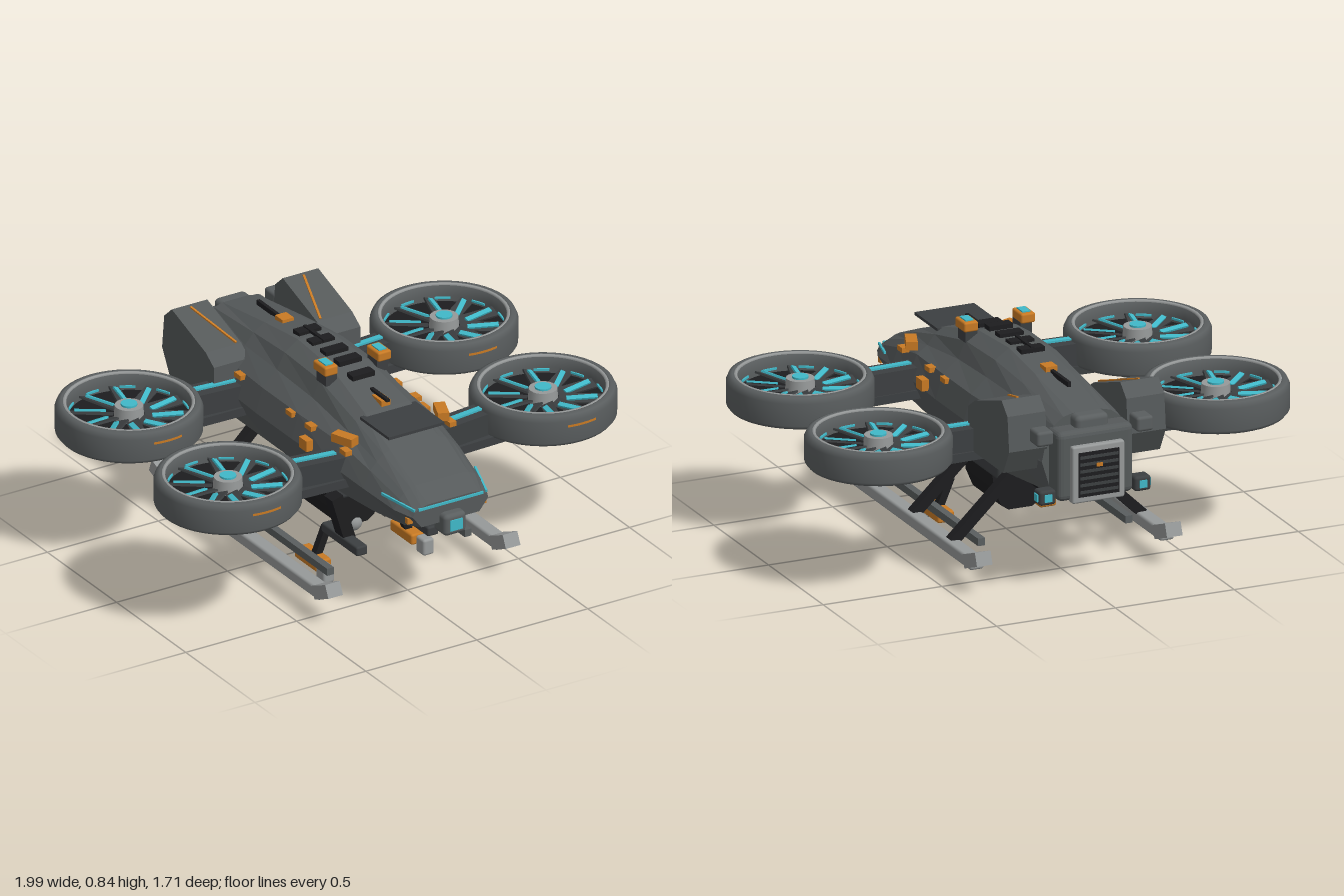
import * as THREE from 'three';
import { RoundedBoxGeometry } from 'three/addons/geometries/RoundedBoxGeometry.js';

const mat = (name, color, extra = {}) => Object.assign(new THREE.MeshStandardMaterial({ color, ...extra }), { name });

export function createModel() {
  const root = new THREE.Group();
  root.name = 'quadRotorCraft';
  const hull = mat('hullGrey', 0x55595a);
  hull.flatShading = true;
  const duct = mat('ductGrey', 0x5a5e5f);
  const dark = mat('darkGrey', 0x3c3f41);
  const black = mat('black', 0x1d1d1f);
  const light = mat('lightGrey', 0x969999);
  const orange = mat('orange', 0xc87a24);
  const cyan = mat('cyan', 0x40b8c8);

  const add = (name, geo, m, x = 0, y = 0, z = 0, parent = root) => {
    const mesh = new THREE.Mesh(geo, m);
    mesh.name = name;
    mesh.position.set(x, y, z);
    parent.add(mesh);
    return mesh;
  };
  const box = (name, m, w, h, d, x, y, z, parent) => add(name, new THREE.BoxGeometry(w, h, d), m, x, y, z, parent);
  const soft = (name, m, w, h, d, x, y, z, parent) =>
    add(name, new RoundedBoxGeometry(w, h, d, 2, Math.min(w, h, d) * 0.2), m, x, y, z, parent);
  // rectangular bar running from a to b
  const bar = (name, m, a, b, w, h) => {
    const p = new THREE.Vector3(...a), q = new THREE.Vector3(...b);
    const mesh = box(name, m, w, h, p.distanceTo(q), 0, 0, 0);
    mesh.position.copy(p).add(q).multiplyScalar(0.5);
    mesh.lookAt(q);
    return mesh;
  };
  // solid swept through cross-sections ordered front to back; each is [z, [x, y]...] for one half, top first
  const loft = (sections) => {
    const rings = sections.map(([z, ...pts]) =>
      [...pts.map(([x, y]) => [x, y, z]), ...pts.slice().reverse().map(([x, y]) => [-x, y, z])]);
    const n = rings[0].length, v = [];
    for (let k = 0; k < rings.length - 1; k++) for (let i = 0; i < n; i++) {
      const j = (i + 1) % n, a = rings[k][i], b = rings[k][j], c = rings[k + 1][j], d = rings[k + 1][i];
      v.push(...a, ...b, ...c, ...a, ...c, ...d);
    }
    const first = rings[0], last = rings[rings.length - 1];
    const mid = (r) => [0, (r[0][1] + r[n / 2][1]) / 2, r[0][2]];
    for (let i = 0; i < n; i++) {
      const j = (i + 1) % n;
      v.push(...mid(first), ...first[j], ...first[i], ...mid(last), ...last[i], ...last[j]);
    }
    const g = new THREE.BufferGeometry();
    g.setAttribute('position', new THREE.Float32BufferAttribute(v, 3));
    g.computeVertexNormals();
    return g;
  };

  // fuselage
  add('fuselage', loft([
    [0.81, [0.10, 0.53], [0.13, 0.525], [0.14, 0.52], [0.16, 0.51], [0.17, 0.49], [0.13, 0.44]],
    [0.73, [0.11, 0.58], [0.13, 0.575], [0.16, 0.56], [0.18, 0.54], [0.205, 0.50], [0.16, 0.425]],
    [0.55, [0.11, 0.655], [0.14, 0.645], [0.17, 0.62], [0.20, 0.59], [0.23, 0.52], [0.18, 0.41]],
    [0.35, [0.10, 0.725], [0.14, 0.70], [0.17, 0.66], [0.215, 0.63], [0.25, 0.54], [0.19, 0.40]],
    [0.08, [0.08, 0.795], [0.135, 0.76], [0.165, 0.69], [0.23, 0.64], [0.26, 0.54], [0.20, 0.40]],
    [-0.18, [0.07, 0.805], [0.13, 0.765], [0.165, 0.70], [0.23, 0.64], [0.26, 0.54], [0.20, 0.40]],
    [-0.42, [0.07, 0.775], [0.12, 0.745], [0.16, 0.70], [0.22, 0.64], [0.25, 0.54], [0.20, 0.40]],
    [-0.74, [0.06, 0.72], [0.10, 0.71], [0.14, 0.68], [0.17, 0.63], [0.19, 0.54], [0.15, 0.41]],
  ]), hull);

  // nose sensor and light strip
  soft('noseSensor', duct, 0.1, 0.09, 0.09, 0, 0.435, 0.805);
  box('noseLens', cyan, 0.055, 0.045, 0.006, 0, 0.435, 0.852);
  box('noseStrip', cyan, 0.29, 0.01, 0.008, 0, 0.518, 0.812);

  // top deck details
  box('canopyPlate', dark, 0.25, 0.012, 0.21, 0, 0.712, 0.46);
  for (let i = 0; i < 5; i++) box('deckVent', black, 0.1, 0.02, 0.045, 0, i === 4 ? 0.785 : 0.805, -0.225 + i * 0.097);
  box('foreBeacon', orange, 0.04, 0.025, 0.07, 0, 0.737, 0.31);
  box('foreAntenna', black, 0.014, 0.012, 0.12, 0, 0.755, 0.3);
  box('aftBeacon', orange, 0.05, 0.03, 0.055, 0, 0.78, -0.39);
  box('aftAntenna', black, 0.014, 0.012, 0.15, 0, 0.815, -0.17);
  box('aftSpine', black, 0.014, 0.02, 0.16, 0, 0.775, -0.5);

  // tail block and exhaust grille
  soft('tailBlock', hull, 0.32, 0.28, 0.12, 0, 0.535, -0.765);
  soft('tailCap', duct, 0.14, 0.1, 0.11, 0, 0.67, -0.74);
  soft('exhaustFrame', light, 0.22, 0.23, 0.04, 0, 0.505, -0.828);
  box('exhaustOpening', black, 0.17, 0.18, 0.006, 0, 0.505, -0.849);
  for (let i = 0; i < 6; i++) box('exhaustSlat', dark, 0.16, 0.012, 0.005, 0, 0.435 + i * 0.028, -0.852);
  box('exhaustMark', orange, 0.025, 0.015, 0.004, 0, 0.54, -0.855);

  // belly
  soft('bellyPan', black, 0.22, 0.055, 1.11, 0, 0.373, -0.045);
  soft('turretMount', dark, 0.25, 0.09, 0.38, 0, 0.32, -0.01);
  add('turretDrum', loft([
    [0.13, [0.12, 0.30], [0.11, 0.22], [0.08, 0.15], [0.05, 0.13]],
    [-0.13, [0.12, 0.30], [0.11, 0.22], [0.08, 0.15], [0.05, 0.13]],
  ]), black);
  add('bellySensor', new THREE.SphereGeometry(0.04, 16, 12), light, 0, 0.13, 0.1);

  // tail pod side outline as [z, y]
  const podShape = new THREE.Shape([[-0.37, 0.5], [-0.69, 0.5], [-0.745, 0.6], [-0.73, 0.74], [-0.675, 0.79],
    [-0.43, 0.71], [-0.37, 0.67]].map(([z, y]) => new THREE.Vector2(z, y)));
  const podGeo = new THREE.ExtrudeGeometry(podShape, { depth: 0.16, bevelEnabled: false }).rotateY(-Math.PI / 2);

  // duct ring cross-section, outside upward then back down the inside
  const ductGeo = new THREE.LatheGeometry([[0.245, -0.065], [0.272, -0.065], [0.284, -0.05], [0.285, 0.04], [0.275, 0.062],
    [0.26, 0.068], [0.24, 0.06], [0.235, 0.02], [0.235, -0.05], [0.245, -0.065]].map((p) => new THREE.Vector2(...p)), 48);

  const rotor = (x, z) => {
    const g = new THREE.Group();
    g.name = 'rotor';
    g.position.set(x, 0.563, z);
    root.add(g);
    add('ductRing', ductGeo, duct, 0, 0, 0, g);
    for (const y of [0.06, -0.063])
      add('ductLip', new THREE.TorusGeometry(0.248, 0.008, 6, 48).rotateX(Math.PI / 2), light, 0, y, 0, g);
    add('rotorDisc', new THREE.CylinderGeometry(0.236, 0.236, 0.01, 40), black, 0, -0.01, 0, g);
    add('hub', new THREE.CylinderGeometry(0.055, 0.06, 0.075, 24), light, 0, 0.012, 0, g);
    add('hubLight', new THREE.CylinderGeometry(0.032, 0.032, 0.008, 20), cyan, 0, 0.053, 0, g);
    for (let i = 0; i < 10; i++) {
      const arm = new THREE.Group();
      arm.name = 'blade';
      arm.rotation.y = i * Math.PI / 5;
      g.add(arm);
      box('bladeBody', dark, 0.17, 0.008, 0.05, 0.145, 0.008, 0, arm).rotation.x = 0.35;
      box('bladeStripe', cyan, 0.12, 0.008, 0.02, 0.15, 0.017, 0.006, arm).rotation.set(0.35, 0.15, 0);
      box('rimLight', cyan, 0.008, 0.008, 0.06, 0.226, 0.01, 0.05, arm).rotation.y = -0.22;
    }
    // orange marking on the forward face of the duct
    add('ductMark', new THREE.CylinderGeometry(0.288, 0.288, 0.01, 12, 1, true, -0.22, 0.44),
      orangeThin, 0, 0.02, 0, g);
  };
  const orangeThin = orange;

  for (const s of [1, -1]) {
    // rotors on their arms
    for (const z of [0.34, -0.375]) {
      rotor(s * 0.71, z);
      const zb = z + (z > 0 ? 0.02 : 0.01);
      bar('upperArm', dark, [s * 0.2, 0.545, zb], [s * 0.44, 0.55, z], 0.1, 0.09);
      bar('armLight', cyan, [s * 0.24, 0.597, zb], [s * 0.44, 0.601, z], 0.025, 0.008);
      bar('lowerBeam', dark, [s * 0.2, 0.485, zb], [s * 0.72, 0.485, z], 0.12, 0.035);
      add('motorMount', new THREE.CylinderGeometry(0.065, 0.065, 0.08, 20), dark, s * 0.71, 0.51, z);
    }
    // tail pods
    add('tailPod', podGeo, hull, s > 0 ? 0.33 : -0.17, 0, 0);
    bar('podStripe', orange, [s * 0.255, 0.786, -0.66], [s * 0.19, 0.714, -0.435], 0.009, 0.008);
    soft('tailThruster', duct, 0.07, 0.06, 0.08, s * 0.21, 0.66, -0.78);
    soft('tailLamp', dark, 0.07, 0.06, 0.06, s * 0.2, 0.42, -0.79);
    box('tailLampGlass', cyan, 0.006, 0.03, 0.03, s * 0.237, 0.42, -0.79);
    box('tailLampBack', cyan, 0.03, 0.03, 0.006, s * 0.2, 0.42, -0.822);

    // nose lights
    bar('cheekStrip', cyan, [s * 0.162, 0.518, 0.81], [s * 0.211, 0.538, 0.65], 0.008, 0.01);
    box('headlight', orange, 0.025, 0.025, 0.02, s * 0.165, 0.465, 0.775);

    // deck and flank markers
    soft('deckLamp', orange, 0.06, 0.04, 0.09, s * 0.12, 0.82, 0.1);
    box('deckLampGlass', cyan, 0.034, 0.008, 0.055, s * 0.12, 0.841, 0.1);
    box('deckLampFoot', dark, 0.05, 0.05, 0.07, s * 0.115, 0.78, 0.1);
    bar('shoulderMarker', orange, [s * 0.235, 0.665, 0.35], [s * 0.2, 0.665, 0.44], 0.045, 0.035);
    for (const z of [0.43, 0.18, 0.04, -0.33]) box('flankMarker', orange, 0.03, 0.02, 0.045, s * 0.235, 0.63, z);
    box('flankLamp', orange, 0.03, 0.045, 0.055, s * 0.265, 0.57, 0.19);

    // skid with upturned ends, inner tube and struts
    soft('skid', light, 0.06, 0.05, 1.15, s * 0.4, 0.115, -0.03);
    bar('skidToe', light, [s * 0.4, 0.112, 0.51], [s * 0.4, 0.158, 0.61], 0.066, 0.055);
    bar('skidHeel', light, [s * 0.4, 0.112, -0.55], [s * 0.4, 0.155, -0.665], 0.066, 0.055);
    bar('innerTube', duct, [s * 0.31, 0.14, 0.44], [s * 0.31, 0.14, -0.45], 0.03, 0.03);
    for (const z of [-0.02, -0.37]) bar('skidStrut', black, [s * 0.15, 0.37, z], [s * 0.4, 0.13, z], 0.04, 0.04);

    // slung gun
    bar('gunHanger', black, [s * 0.21, 0.38, 0.3], [s * 0.15, 0.18, 0.3], 0.06, 0.05);
    soft('gunBarrel', dark, 0.05, 0.04, 0.26, s * 0.16, 0.183, 0.3);
    bar('gunLink', black, [s * 0.16, 0.18, 0.17], [s * 0.21, 0.06, 0.17], 0.03, 0.03);
    soft('gunBody', orange, 0.07, 0.045, 0.16, s * 0.215, 0.055, 0.16);
    soft('gunTip', light, 0.05, 0.068, 0.06, s * 0.225, 0.038, 0.265);
  }
  return root;
}
